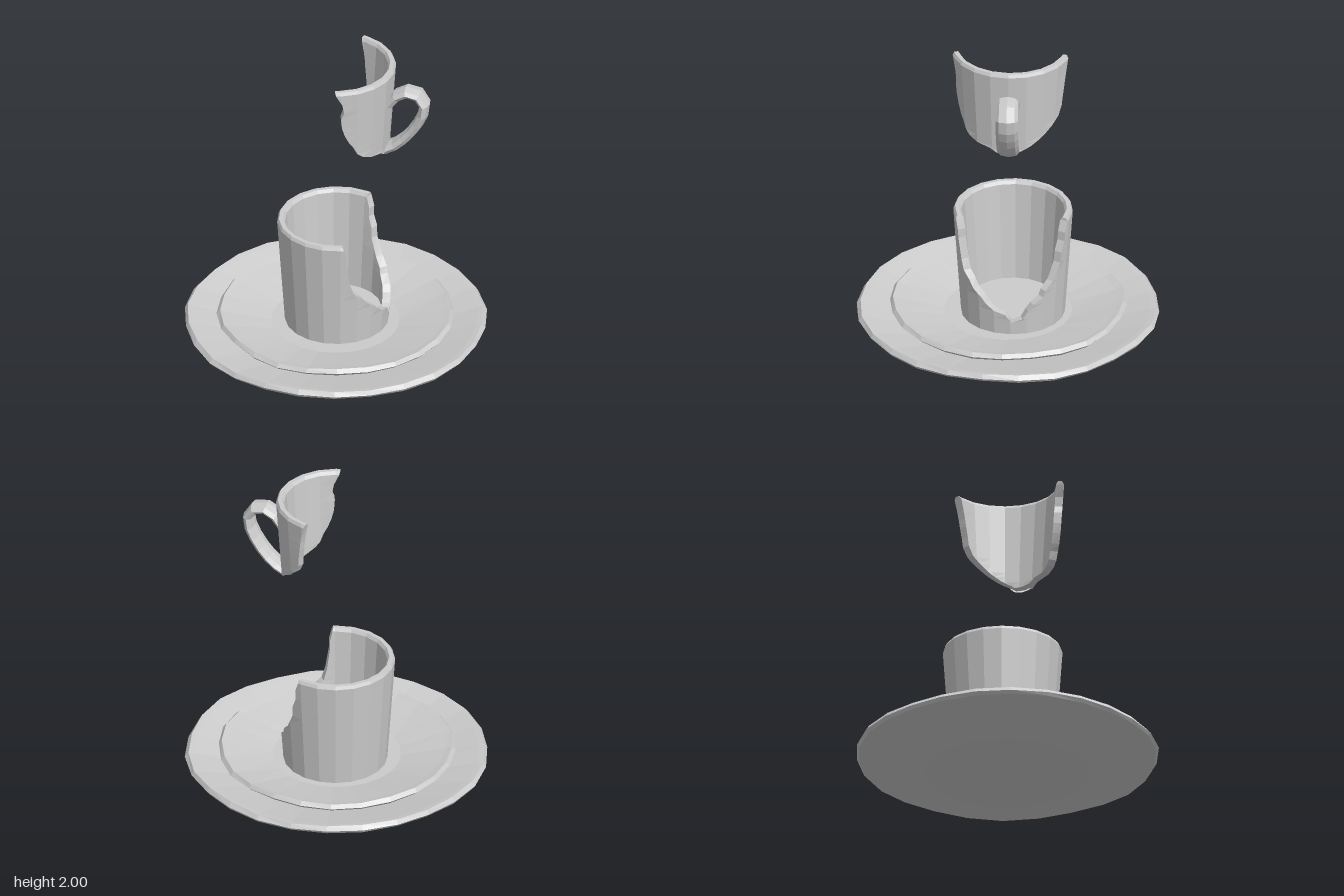
import * as THREE from 'three';

const RAD = Math.PI / 180;
const material = () => new THREE.MeshStandardMaterial({
  color: 0xcccccc, flatShading: true, side: THREE.DoubleSide,
});

function addMesh(parent, name, geometry) {
  const mesh = new THREE.Mesh(geometry, material());
  mesh.name = name;
  parent.add(mesh);
  return mesh;
}

// Turned plate with a slightly uneven hand-made rim
function plate(profile, segments, phase) {
  const geo = new THREE.LatheGeometry(profile.map(([r, y]) => new THREE.Vector2(r, y)), segments);
  const pos = geo.attributes.position;
  for (let i = 0; i < pos.count; i++) {
    const x = pos.getX(i), y = pos.getY(i), z = pos.getZ(i);
    const r = Math.hypot(x, z);
    if (r < 0.6) continue;
    const a = Math.atan2(z, x);
    const k = 1 + 0.006 * Math.sin(7 * a + phase + y * 30);
    pos.setXYZ(i, x * k, y + 0.005 * Math.sin(5 * a + phase), z * k);
  }
  geo.computeVertexNormals();
  return geo;
}

// Cup radius at a height, narrowing at the bevelled lip
const TOP = 0.85, WALL = 0.05;
const outerRadius = (y) => 0.325 + 0.068 * (y - 0.12) - (y >= TOP ? 0.012 : 0);
const innerRadius = (y) => outerRadius(y) - WALL + (y >= TOP ? 0.024 : 0);

// Thick curved wall: each row is [height, start angle, end angle] in degrees.
// Fixed facet angles are clamped to the row, leaving a jagged broken edge.
function brokenWall(rows, columns) {
  const out = [];
  const quad = (a, b, c, d) => out.push(...a, ...b, ...c, ...a, ...c, ...d);
  const grid = (radius, slip) => rows.map(([y, from, to]) => columns.map((deg) => {
    const a = Math.min(Math.max(deg, from + slip), to - slip) * RAD;
    return [radius(y) * Math.cos(a), y, radius(y) * Math.sin(a)];
  }));
  const O = grid(outerRadius, 0), I = grid(innerRadius, 0);
  const last = rows.length - 1, end = columns.length - 1;
  for (let i = 0; i < last; i++) {
    for (let j = 0; j < end; j++) {
      quad(O[i][j + 1], O[i][j], O[i + 1][j], O[i + 1][j + 1]);
      quad(I[i][j], I[i][j + 1], I[i + 1][j + 1], I[i + 1][j]);
    }
    // Broken edge faces
    quad(O[i][0], I[i][0], I[i + 1][0], O[i + 1][0]);
    quad(I[i][end], O[i][end], O[i + 1][end], I[i + 1][end]);
  }
  for (let j = 0; j < end; j++) {
    quad(O[last][j], I[last][j], I[last][j + 1], O[last][j + 1]);
    quad(O[0][j + 1], I[0][j + 1], I[0][j], O[0][j]);
  }
  const geo = new THREE.BufferGeometry();
  geo.setAttribute('position', new THREE.Float32BufferAttribute(out, 3));
  geo.computeVertexNormals();
  return geo;
}

const angles = (from, to, step) =>
  Array.from({ length: Math.round((to - from) / step) + 1 }, (_, i) => from + i * step);

export function createModel() {
  const model = new THREE.Group();
  model.name = 'brokenCupOnSaucers';

  // Stacked saucers
  addMesh(model, 'largeSaucer', plate([
    [0, 0], [0.51, 0], [0.93, 0.11], [0.945, 0.13], [0.925, 0.157],
    [0.89, 0.15], [0.5, 0.05], [0, 0.05],
  ], 26, 0.6));
  addMesh(model, 'smallSaucer', plate([
    [0, 0.07], [0.4, 0.075], [0.72, 0.15], [0.74, 0.17], [0.72, 0.194],
    [0.68, 0.183], [0.4, 0.12], [0, 0.115],
  ], 24, 2.1));

  // Standing part of the cup: opening half-angles towards +z and -z
  const cup = new THREE.Group();
  cup.name = 'cup';
  cup.position.z = -0.03;
  model.add(cup);
  const opening = [
    [0.11, 0, 0], [0.2, 0, 0], [0.225, 1, 13], [0.26, 6, 17], [0.28, 18, 19],
    [0.32, 27, 25], [0.36, 33, 36], [0.4, 43, 39], [0.45, 49, 49], [0.49, 58, 53],
    [0.56, 62, 59], [0.63, 64, 60], [0.7, 66, 65], [0.76, 66, 65], [0.83, 69, 69], [TOP, 70, 69],
  ];
  addMesh(cup, 'cupWall', brokenWall(
    opening.map(([y, a, b]) => [y, a, 360 - b]), angles(0, 360, 18)));
  const floor = addMesh(cup, 'cupFloor', new THREE.CylinderGeometry(0.3, 0.3, 0.07, 20));
  floor.position.y = 0.15;

  // Broken-off piece floating above with the handle
  const shard = new THREE.Group();
  shard.name = 'cupShard';
  shard.position.set(0, 1.145, -0.02);
  model.add(shard);
  const edge = [
    [0.26, 4, 6], [0.275, 14, 10], [0.3, 21, 19], [0.315, 36, 24], [0.34, 47, 31],
    [0.37, 53, 39], [0.42, 57, 51], [0.46, 62, 60], [0.52, 67, 66], [0.58, 70, 67],
    [0.65, 71, 69], [0.7, 68, 70], [0.76, 70, 72], [0.83, 76, 75], [TOP, 77, 76],
  ];
  addMesh(shard, 'shardWall', brokenWall(
    edge.map(([y, a, b]) => [y, -b, a]), angles(-90, 90, 18)));

  // Handle: flattened loop with faceted sides
  const path = new THREE.CatmullRomCurve3([
    [0.345, 0.61], [0.395, 0.675], [0.475, 0.712], [0.55, 0.68], [0.57, 0.61],
    [0.53, 0.495], [0.46, 0.39], [0.385, 0.315], [0.315, 0.275],
  ].map(([x, y]) => new THREE.Vector3(x, y, 0)));
  const loop = new THREE.TubeGeometry(path, 10, 0.034, 8, false);
  loop.scale(1, 1, 2.05);
  loop.computeVertexNormals();
  addMesh(shard, 'handle', loop);

  return model;
}
